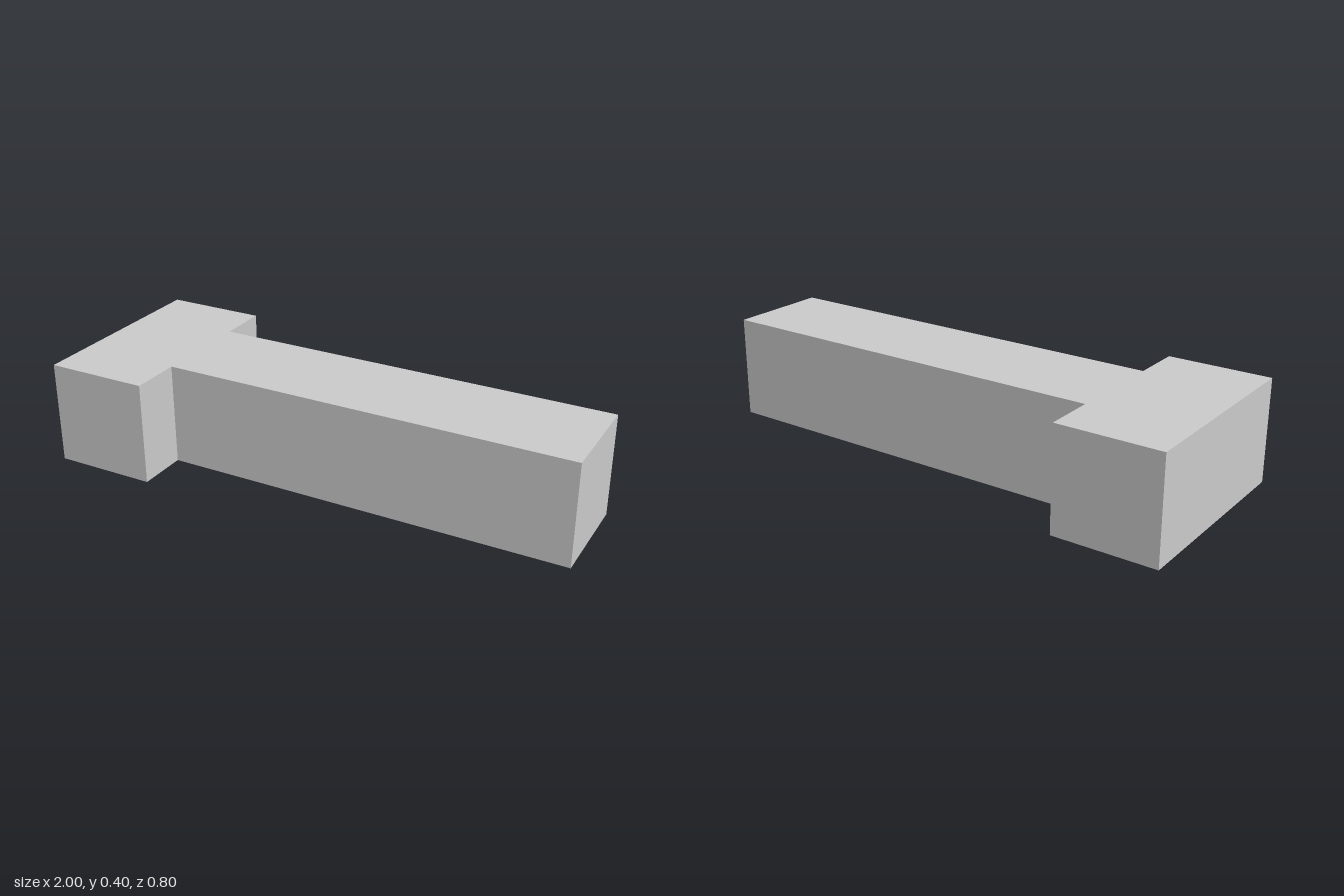
import * as THREE from 'three';

export function createModel() {
  const group = new THREE.Group();
  const height = 0.4;

  // T-shaped plan: wide head at -x, long shaft towards +x
  const half = [[1, 0.2], [-0.6, 0.2], [-0.6, 0.4], [-1, 0.4]];
  const mirrored = half.map(([x, z]) => [x, -z]).reverse();
  const plan = new THREE.Shape([...half, ...mirrored].map(([x, z]) => new THREE.Vector2(x, z)));

  // Extrude the plan upwards from the ground
  const geometry = new THREE.ExtrudeGeometry(plan, { depth: height, bevelEnabled: false });
  geometry.rotateX(-Math.PI / 2);

  const block = new THREE.Mesh(
    geometry,
    new THREE.MeshStandardMaterial({ color: 0xcccccc, flatShading: true })
  );
  block.name = 'tShapedBlock';
  group.add(block);
  return group;
}
